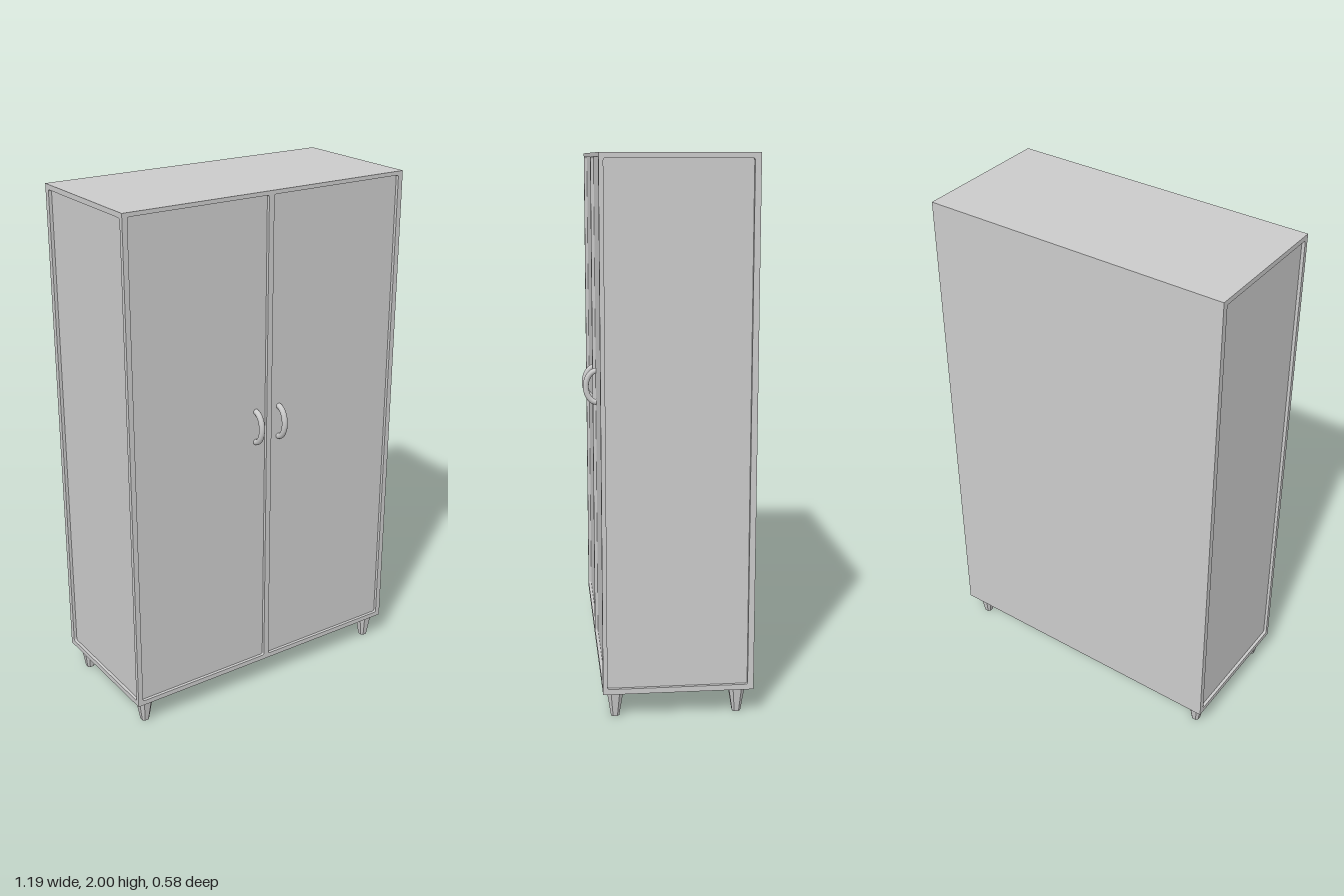
import * as THREE from 'three';

const mat = new THREE.MeshStandardMaterial({ color: 0xcccccc });
const W = 0.595, BACK = -0.293, FRONT = 0.251, BOTTOM = 0.098, TOP = 2;
const RECESS = 0.012; // how deep doors and side panels sit in their frames

function add(parent, name, geometry, x = 0, y = 0, z = 0) {
  const mesh = new THREE.Mesh(geometry, mat);
  mesh.name = name;
  mesh.position.set(x, y, z);
  parent.add(mesh);
  return mesh;
}

// Rectangle with corners rounded by r, drawn into a shape or hole path
function roundedRect(path, x0, x1, y0, y1, r) {
  path.moveTo(x0 + r, y0).lineTo(x1 - r, y0).quadraticCurveTo(x1, y0, x1, y0 + r)
    .lineTo(x1, y1 - r).quadraticCurveTo(x1, y1, x1 - r, y1)
    .lineTo(x0 + r, y1).quadraticCurveTo(x0, y1, x0, y1 - r)
    .lineTo(x0, y0 + r).quadraticCurveTo(x0, y0, x0 + r, y0);
  return path;
}

// Flat frame in the xy plane with rounded openings, extruded by the recess depth
function frameGeometry(x0, x1, openings) {
  const shape = new THREE.Shape();
  shape.moveTo(x0, BOTTOM).lineTo(x1, BOTTOM).lineTo(x1, TOP).lineTo(x0, TOP).closePath();
  for (const o of openings) shape.holes.push(roundedRect(new THREE.Path(), ...o, 0.008));
  return new THREE.ExtrudeGeometry(shape, { depth: RECESS, bevelEnabled: false, curveSegments: 4 });
}

// Tapered square foot with chamfered corners
function footGeometry(top, bottom, height) {
  const c = 0.5, k = 0.26;
  const pts = [[c, -k], [c, k], [k, c], [-k, c], [-c, k], [-c, -k], [-k, -c], [k, -c]]
    .map(([x, y]) => new THREE.Vector2(x, y));
  const g = new THREE.ExtrudeGeometry(new THREE.Shape(pts), { depth: height, bevelEnabled: false });
  g.rotateX(-Math.PI / 2);
  const p = g.attributes.position;
  for (let i = 0; i < p.count; i++) {
    const s = THREE.MathUtils.lerp(bottom, top, p.getY(i) / height);
    p.setX(i, p.getX(i) * s);
    p.setZ(i, p.getZ(i) * s);
  }
  g.computeVertexNormals();
  return g;
}

export function createModel() {
  const group = new THREE.Group();
  group.name = 'wardrobe';

  // Carcass: its front and side faces form the recessed doors and panels
  const depth = FRONT - RECESS - BACK;
  add(group, 'carcass', new THREE.BoxGeometry(2 * (W - RECESS), TOP - BOTTOM, depth),
    0, (TOP + BOTTOM) / 2, BACK + depth / 2);

  // Front frame around the two doors
  add(group, 'frontFrame', frameGeometry(-W, W, [
    [-0.575, -0.011, 0.117, 1.985],
    [0.011, 0.575, 0.117, 1.985],
  ]), 0, 0, FRONT - RECESS);

  // Arched door handle
  const points = [];
  for (let i = 0; i <= 16; i++) {
    const a = -Math.PI / 2 + (Math.PI * i) / 16;
    points.push(new THREE.Vector3(0, 0.061 * Math.sin(a), 0.042 * Math.cos(a)));
  }
  const handle = new THREE.TubeGeometry(new THREE.CatmullRomCurve3(points), 32, 0.011, 12);
  const foot = footGeometry(0.06, 0.03, BOTTOM);

  for (const side of [-1, 1]) {
    const label = side > 0 ? 'left' : 'right';

    // Side frame around the recessed side panel
    const frame = frameGeometry(BACK, FRONT - RECESS, [[-0.271, 0.235, 0.118, 1.981]]);
    frame.rotateY(-Math.PI / 2);
    add(group, label + 'SideFrame', frame, side > 0 ? W : -W + RECESS);

    add(group, label + 'Handle', handle, side * 0.052, 1.122, 0.237);
    add(group, label + 'FrontFoot', foot, side * 0.545, 0, 0.206);
    add(group, label + 'BackFoot', foot, side * 0.545, 0, -0.237);
  }
  return group;
}
